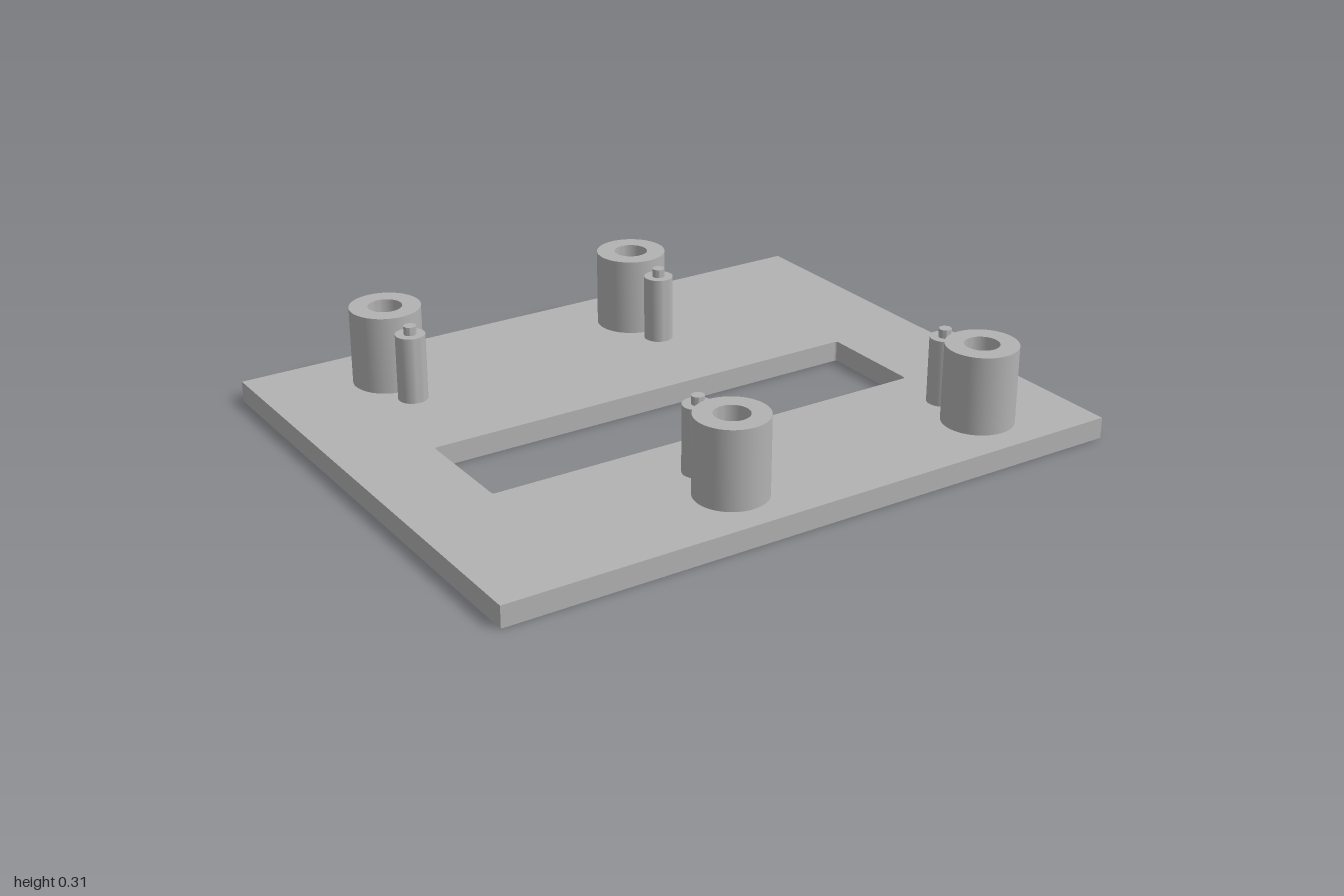
import * as THREE from 'three';
import { toCreasedNormals } from 'three/addons/utils/BufferGeometryUtils.js';

const PLATE_TOP = 0.065;

// Revolved part with crisp edges; profile is [radius, height], listed outside bottom to top
function turned(profile, segments) {
  const points = profile.map(([r, y]) => new THREE.Vector2(r, y));
  return toCreasedNormals(new THREE.LatheGeometry(points, segments), 0.6);
}

// Flat plate with a rectangular window whose corners are slightly rounded
function plateGeometry() {
  const shape = new THREE.Shape();
  shape.moveTo(-1, -0.805).lineTo(1, -0.805).lineTo(1, 0.805).lineTo(-1, 0.805).closePath();

  const [x0, x1, z0, z1, r] = [-0.725, 0.702, -0.075, 0.267, 0.008];
  const hole = new THREE.Path();
  hole.absarc(x0 + r, z0 + r, r, Math.PI, Math.PI * 1.5);
  hole.absarc(x1 - r, z0 + r, r, Math.PI * 1.5, Math.PI * 2);
  hole.absarc(x1 - r, z1 - r, r, 0, Math.PI / 2);
  hole.absarc(x0 + r, z1 - r, r, Math.PI / 2, Math.PI);
  hole.closePath();
  shape.holes.push(hole);

  const geometry = new THREE.ExtrudeGeometry(shape, {
    depth: PLATE_TOP, bevelEnabled: false, curveSegments: 4,
  });
  // Lay the shape flat: shape y becomes z, thickness runs from PLATE_TOP down to 0
  geometry.rotateX(Math.PI / 2);
  geometry.translate(0, PLATE_TOP, 0);
  return geometry;
}

export function createModel() {
  const model = new THREE.Group();
  model.name = 'mountingPlate';
  const grey = new THREE.MeshStandardMaterial({ color: 0xb2b2b2 });
  grey.name = 'grey';

  const add = (geometry, name, x = 0, z = 0) => {
    const mesh = new THREE.Mesh(geometry, grey);
    mesh.name = name;
    mesh.position.set(x, 0, z);
    model.add(mesh);
  };

  add(plateGeometry(), 'basePlate');

  // Hollow standoff with a blind bore down to the plate
  const standoff = turned([
    [0.108, PLATE_TOP], [0.108, 0.305], [0.052, 0.305],
    [0.052, PLATE_TOP + 0.001], [0, PLATE_TOP + 0.001],
  ], 48);

  // Locating pin with a thin stepped tip
  const pin = turned([
    [0.045, PLATE_TOP], [0.045, 0.271], [0.019, 0.271], [0.019, 0.297], [0, 0.297],
  ], 32);

  // Each standoff has a pin on its inner side
  const mounts = [
    ['backRight', -0.618, -0.58, -0.417],
    ['backLeft', 0.251, -0.58, -0.417],
    ['frontRight', -0.185, 0.617, 0.455],
    ['frontLeft', 0.686, 0.617, 0.455],
  ];
  for (const [place, x, standoffZ, pinZ] of mounts) {
    add(standoff, place + 'Standoff', x, standoffZ);
    add(pin, place + 'Pin', x, pinZ);
  }
  return model;
}
